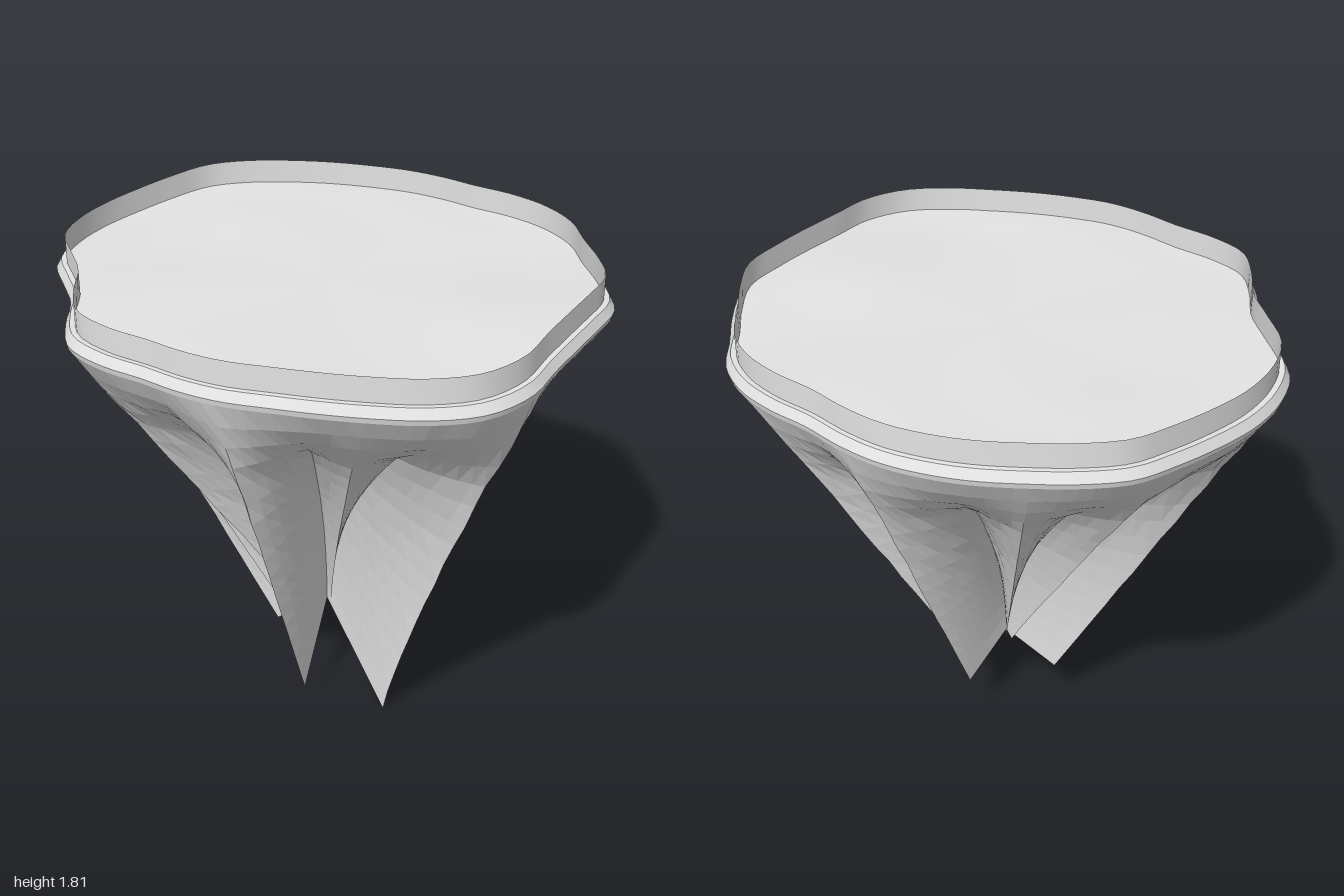
import * as THREE from 'three';

const COLS = 120;

// Outline radius every 10 degrees, turning from +x towards +z
const RADII = [0.998, 0.967, 0.955, 0.97, 1.02, 1.033, 0.995, 0.946, 0.915, 0.9, 0.903, 0.9,
  0.9, 0.938, 0.965, 0.925, 0.89, 0.925, 0.99, 1.002, 0.995, 0.983, 0.985, 0.998,
  0.97, 0.938, 0.92, 0.907, 0.9, 0.888, 0.883, 0.92, 0.957, 0.972, 0.957, 0.975];

// Rock folds: direction in degrees, 1 for a ridge to 0 for a deep valley, lowest point
const APEX = [0, 0.35, 0];
const FOLDS = [
  [0, 1, [0.01, 0.34, 0]],
  [9, 0.5, APEX],
  [24, 0, APEX],
  [39, 0.85, [0.26, 0, 0.2]],
  [57, 0, APEX],
  [72, 0.7, [0.02, 0.36, 0.02]],
  [84, 0, APEX],
  [102, 1, [-0.04, 0.09, 0.24]],
  [120, 0, APEX],
  [141, 1, [-0.06, 0.32, 0.04]],
  [153, 0.65, [-0.07, 0.32, 0.02]],
  [165, 1, [-0.15, 0.28, 0.02]],
  [174, 0.8, [-0.12, 0.28, 0.01]],
  [183, 1, [-0.2, 0.22, -0.01]],
  [201, 0.1, APEX],
  [222, 0.95, [-0.03, 0.33, -0.03]],
  [234, 0.2, APEX],
  [249, 0.95, [-0.01, 0.33, -0.04]],
  [264, 0.1, APEX],
  [288, 1, [0.09, 0.22, -0.19]],
  [300, 0, APEX],
  [315, 1, [0.09, 0.24, -0.11]],
  [324, 0, APEX],
  [336, 1, [0.04, 0.33, -0.03]],
  [348, 0, APEX],
  [360, 1, [0.01, 0.34, 0]],
].map(([at, ridge, end]) => ({ at, ridge, end: new THREE.Vector3(...end) }));

function makeRandom(seed) {
  return () => {
    seed = (seed * 16807) % 2147483647;
    return seed / 2147483647;
  };
}

const outlineCurve = new THREE.CatmullRomCurve3(RADII.map((r, i) => {
  const a = (i / RADII.length) * Math.PI * 2;
  return new THREE.Vector3(r * Math.cos(a), 0, r * Math.sin(a));
}), true);
const outline = Array.from({ length: COLS }, (_, i) => outlineCurve.getPoint(i / COLS));

const wave = (i) => {
  const a = (i / COLS) * Math.PI * 2;
  return 0.005 * Math.sin(5 * a) + 0.004 * Math.sin(3 * a + 1);
};

// The outline scaled and set at a height
const ring = (scale, y) => outline.map((p, i) => new THREE.Vector3(p.x * scale, y + wave(i), p.z * scale));

// Closed skin through a list of rings
function loft(rings, flat) {
  const index = [];
  for (let j = 0; j < rings.length - 1; j++) {
    for (let i = 0; i < COLS; i++) {
      const k = (i + 1) % COLS;
      const a = j * COLS + i, b = j * COLS + k, c = a + COLS, d = b + COLS;
      index.push(a, b, c, b, d, c);
    }
  }
  let g = new THREE.BufferGeometry().setFromPoints(rings.flat());
  g.setIndex(index);
  if (flat) g = g.toNonIndexed();
  g.computeVertexNormals();
  return g;
}

// Fold blended between its two neighbours in the list
function foldAt(deg) {
  const n = FOLDS.findIndex((f) => f.at > deg);
  const a = FOLDS[n - 1], b = FOLDS[n];
  const u = (deg - a.at) / (b.at - a.at);
  return { ridge: THREE.MathUtils.lerp(a.ridge, b.ridge, u), end: a.end.clone().lerp(b.end, u) };
}

function rockGeometry() {
  const rows = 16;
  const random = makeRandom(71);
  const top = ring(0.995, 1.655);
  const rings = [];
  for (let j = 0; j <= rows; j++) {
    const t = j / rows;
    // slight shoulder just below the rim
    const shoulder = Math.sin(Math.PI * Math.min(1, t / 0.25));
    rings.push(top.map((p, i) => {
      const { ridge, end } = foldAt((i / COLS) * 360);
      // ridges run straight, valleys sink towards the axis
      const rough = 1 + 0.02 * (random() - 0.5) * Math.sin(Math.PI * t);
      const drop = t - shoulder * (0.01 + 0.03 * (1 - ridge));
      const pull = Math.pow(1 - drop, 1 + 0.65 * (1 - ridge)) * rough;
      return new THREE.Vector3(
        p.x * pull + end.x * t,
        p.y * (1 - t) + end.y * t,
        p.z * pull + end.z * t);
    }));
  }
  return loft(rings, true);
}

export function createModel() {
  const stone = new THREE.MeshStandardMaterial({ color: 0xe4e4e4, side: THREE.DoubleSide });
  stone.name = 'pale stone';
  const model = new THREE.Group();
  model.name = 'floatingIsland';
  const add = (name, geometry) => {
    const mesh = new THREE.Mesh(geometry, stone);
    mesh.name = name;
    model.add(mesh);
  };

  // Folded underside with hanging fins
  add('rockUnderside', rockGeometry());

  // Sloping lip round the edge
  add('lipSlope', loft([ring(0.98, 1.71), ring(1, 1.675)], false));
  add('lipUnderside', loft([ring(1, 1.675), ring(0.995, 1.655)], false));

  // Ground, level in the middle and gently uneven near the edge
  const ground = [0, 0.3, 0.55, 0.7, 0.8, 0.9, 0.98].map((s) => {
    const r = ring(s, 1.71);
    r.forEach((p, i) => {
      const a = (i / COLS) * Math.PI * 2;
      if (s < 0.5) p.y -= wave(i);
      if (s > 0.6 && s < 0.95) p.y += 0.004 * Math.sin(4 * a + s * 9);
    });
    return r;
  });
  add('ground', loft(ground, false));

  // Thin upright band standing on the ground
  add('edgeBand', loft([ring(0.96, 1.8), ring(0.96, 1.705)], false));

  return model;
}
